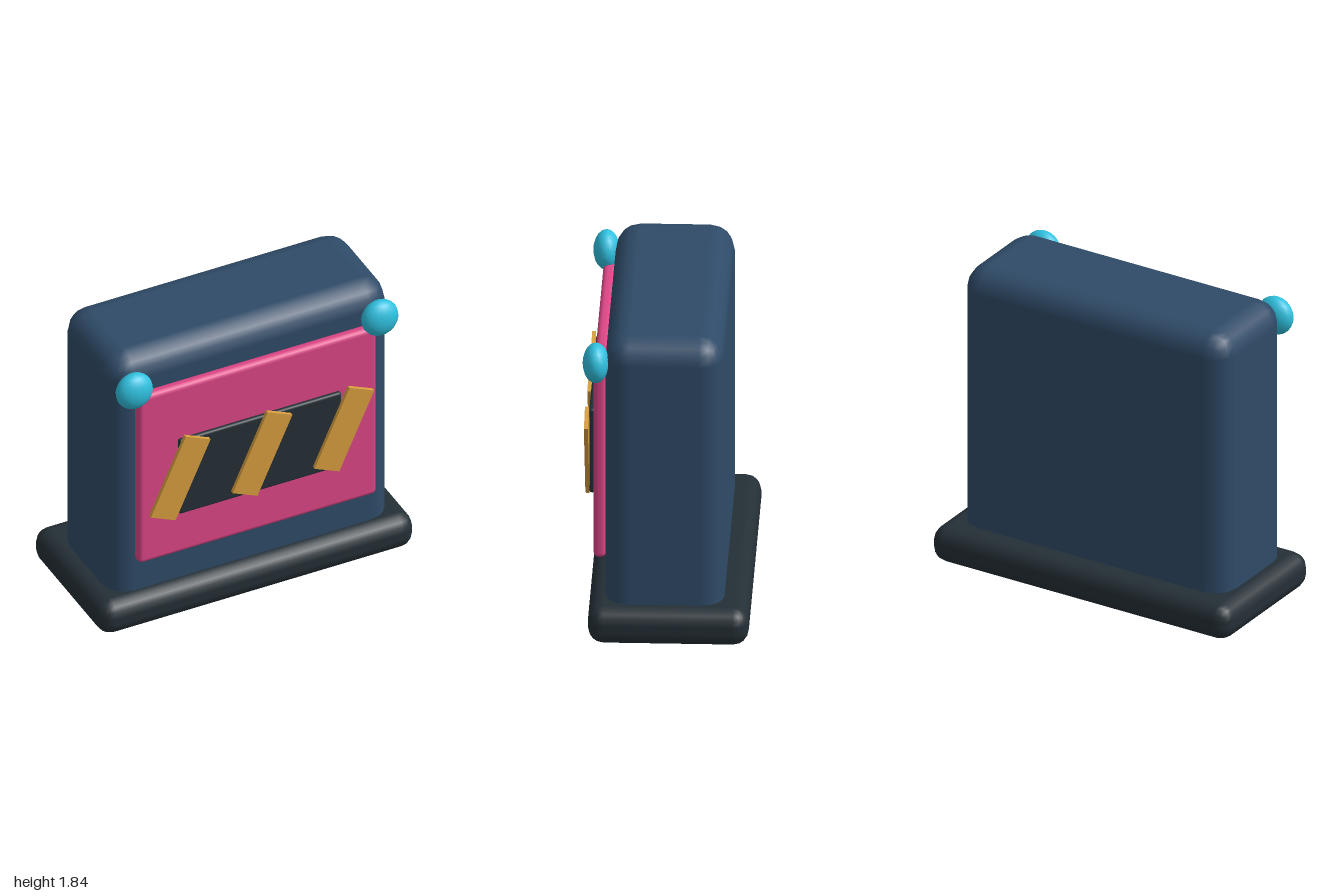
import * as THREE from 'three';
import { RoundedBoxGeometry } from 'three/addons/geometries/RoundedBoxGeometry.js';

const material = (name, color) => {
  const m = new THREE.MeshStandardMaterial({ color });
  m.name = name;
  return m;
};

export function createModel() {
  const group = new THREE.Group();
  const navy = material('navy', 0x2f4b68);
  const charcoal = material('charcoal', 0x242f36);
  const pink = material('pink', 0xdb4585);
  const amber = material('amber', 0xd69d3e);
  const cyan = material('cyan', 0x2fc0df);

  const add = (name, geometry, mat, x, y, z) => {
    const mesh = new THREE.Mesh(geometry, mat);
    mesh.name = name;
    mesh.position.set(x, y, z);
    group.add(mesh);
    return mesh;
  };

  // Rounded box given by its min and max on each axis
  const block = (name, mat, [x0, x1], [y0, y1], [z0, z1], radius) =>
    add(name, new RoundedBoxGeometry(x1 - x0, y1 - y0, z1 - z0, 2, radius), mat,
      (x0 + x1) / 2, (y0 + y1) / 2, (z0 + z1) / 2);

  // Plinth and cabinet
  block('base', charcoal, [-1, 1], [0, 0.22], [-0.475, 0.44], 0.09);
  block('body', navy, [-0.89, 0.89], [0.04, 1.84], [-0.33, 0.345], 0.14);

  // Front panel with its dark inset plate
  block('frontPanel', pink, [-0.757, 0.757], [0.445, 1.62], [0.343, 0.415], 0.03);
  block('darkPlate', charcoal, [-0.515, 0.515], [0.742, 1.263], [0.415, 0.448], 0.014);

  // Slanted warning stripes
  for (const x of [-0.52, 0, 0.52]) {
    const stripe = add('stripe', new THREE.BoxGeometry(0.172, 0.545, 0.023), amber, x, 1.015, 0.459);
    stripe.rotation.z = -0.42;
  }

  // Corner lamps
  for (const side of [-1, 1]) {
    const lamp = add(side > 0 ? 'leftLamp' : 'rightLamp',
      new THREE.SphereGeometry(1, 16, 12), cyan, side * 0.78, 1.675, 0.4);
    lamp.scale.set(0.113, 0.116, 0.075);
  }

  return group;
}
